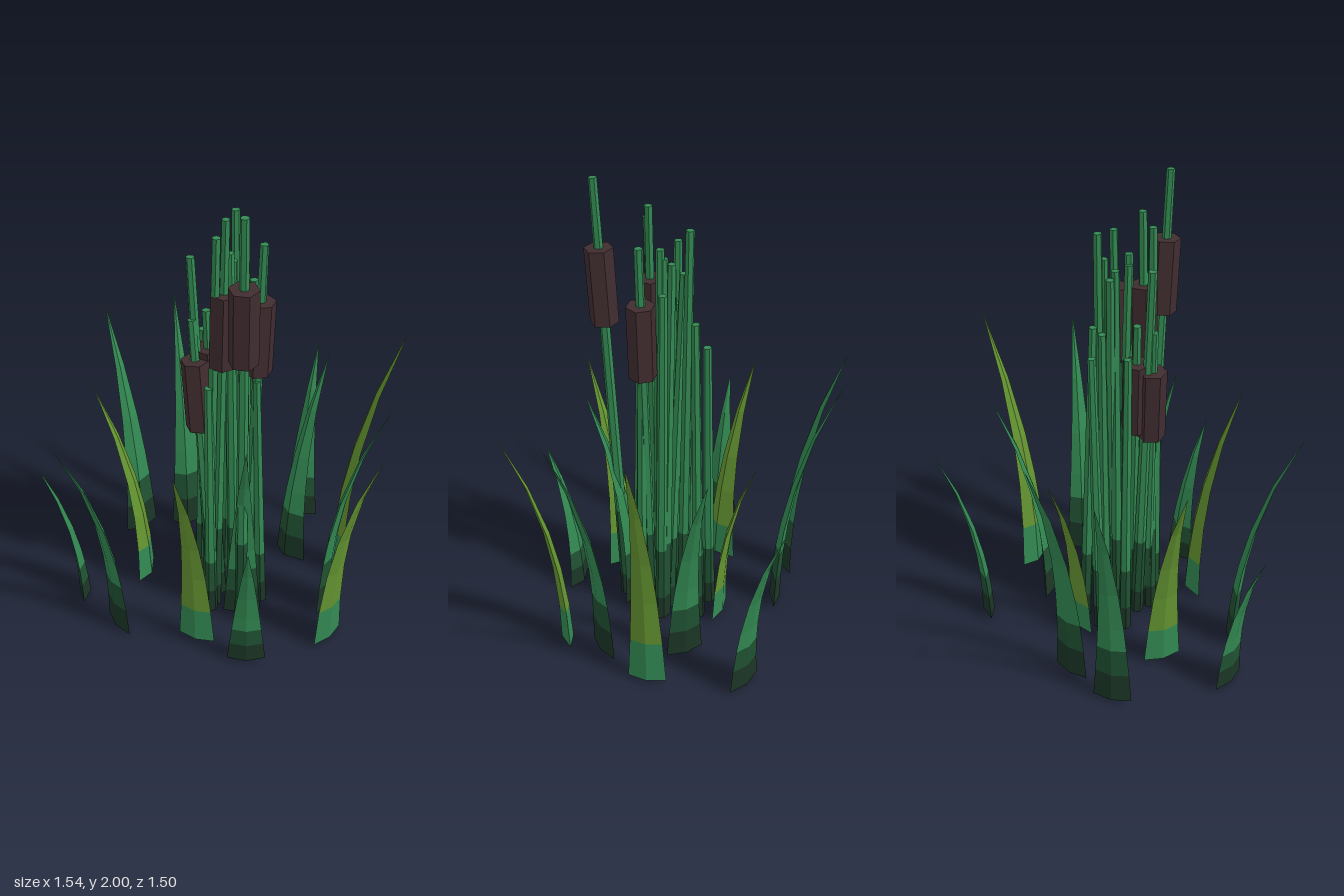
import * as THREE from 'three';

const makeMaterial = (name, color) => {
  const m = new THREE.MeshStandardMaterial({ color, flatShading: true });
  m.name = name;
  return m;
};

// Closed flat-faced skin through rings listed bottom to top, counter-clockwise from above
function loft(rings) {
  const pos = [];
  const tri = (a, b, c) => pos.push(...a, ...b, ...c);
  const n = rings[0].length;
  for (let k = 0; k < rings.length - 1; k++) {
    const a = rings[k], b = rings[k + 1];
    for (let i = 0; i < n; i++) {
      const j = (i + 1) % n;
      tri(a[i], a[j], b[j]);
      tri(a[i], b[j], b[i]);
    }
  }
  const lo = rings[0], hi = rings[rings.length - 1];
  for (let i = 1; i < n - 1; i++) {
    tri(lo[0], lo[i + 1], lo[i]);
    tri(hi[0], hi[i], hi[i + 1]);
  }
  const g = new THREE.BufferGeometry();
  g.setAttribute('position', new THREE.Float32BufferAttribute(pos, 3));
  g.computeVertexNormals();
  return g;
}

// Ridged cross-section of a leaf at height fraction t
function bladeRing(bx, bz, tx, tz, h, t) {
  const dx = tx - bx, dz = tz - bz, len = Math.hypot(dx, dz);
  const ox = dx / len, oz = dz / len;
  const bend = Math.pow(t, 2.3);
  const size = Math.max(0.002, Math.pow(1 - t, 0.92));
  const cx = bx + dx * bend, cz = bz + dz * bend;
  return [[0.018, 0], [0, 0.082], [-0.032, 0.012], [0, -0.082]].map(([o, s]) => [
    cx + (ox * o + oz * s) * size, 0.01 + (h - 0.01) * t, cz + (oz * o - ox * s) * size,
  ]);
}

export function createModel() {
  const model = new THREE.Group();
  model.name = 'reedClump';
  const green = makeMaterial('leafGreen', 0x338a53);
  const dark = makeMaterial('darkGreen', 0x205233);
  const darkest = makeMaterial('rootGreen', 0x1b3626);
  const olive = makeMaterial('oliveGreen', 0x659632);
  const brown = makeMaterial('seedHeadBrown', 0x412d30);

  const add = (parent, name, geometry, material) => {
    const mesh = new THREE.Mesh(geometry, material);
    mesh.name = name;
    parent.add(mesh);
    return mesh;
  };

  // Outer leaves: base x, base z, tip x, tip z, height, is olive
  const leaves = [
    [-0.03, -0.59, -0.09, -0.75, 0.91, 0],
    [0.12, -0.32, 0.125, -0.53, 1.05, 0],
    [0.33, -0.40, 0.47, -0.59, 1.28, 1],
    [0.435, -0.165, 0.655, -0.21, 1.18, 0],
    [0.56, -0.02, 0.77, 0.0, 1.13, 1],
    [0.375, 0.31, 0.46, 0.41, 0.74, 0],
    [0.135, 0.36, 0.2, 0.54, 1.06, 1],
    [0.18, 0.11, 0.32, 0.26, 1.07, 0],
    [-0.175, 0.53, -0.22, 0.75, 1.11, 0],
    [-0.45, 0.49, -0.54, 0.59, 0.74, 0],
    [-0.32, 0.21, -0.505, 0.28, 1.01, 1],
    [-0.56, 0, -0.77, -0.055, 1.16, 0],
    [-0.41, -0.18, -0.59, -0.31, 1.19, 0],
    [-0.13, -0.155, -0.23, -0.27, 0.86, 1],
  ];
  for (const [bx, bz, tx, tz, h, isOlive] of leaves) {
    const leaf = new THREE.Group();
    leaf.name = 'leaf';
    const rings = (...ts) => loft(ts.map((t) => bladeRing(bx, bz, tx, tz, h, t)));
    const split = isOlive ? 0.17 : 0.25;
    if (isOlive) {
      add(leaf, 'leafBase', rings(0, split), green);
    } else {
      add(leaf, 'leafRoot', rings(0, 0.125), darkest);
      add(leaf, 'leafBase', rings(0.125, split), dark);
    }
    add(leaf, 'leafBlade', rings(split, 0.36, 0.54, 0.76, 1), isOlive ? olive : green);
    model.add(leaf);
  }

  // Stems: base x, base z, top x, top z, height, seed head bottom height (0 for none)
  const stems = [
    [0.20, 0.14, 0.255, 0.205, 2.0, 1.41],
    [0.05, 0.14, 0.08, 0.10, 1.9, 1.29],
    [0.13, 0.02, 0.168, -0.01, 1.79, 1.24],
    [0.04, 0.14, -0.05, 0.15, 1.46, 0.97],
    [0.02, 0.07, -0.035, 0.085, 1.48, 1.0],
    [0.01, -0.06, -0.015, -0.065, 1.85, 0],
    [-0.01, 0.10, -0.06, 0.14, 1.72, 0],
    [0.02, 0.16, 0.07, 0.14, 1.84, 0],
    [0.06, 0.02, 0.04, 0.05, 1.7, 0],
    [0.08, 0.05, 0.055, 0.05, 1.74, 0],
    [0.10, -0.06, 0.05, -0.045, 1.72, 0],
    [-0.035, -0.135, -0.03, -0.085, 1.47, 0],
    [-0.12, -0.065, -0.08, -0.09, 1.36, 0],
    [-0.125, 0.045, -0.085, 0.05, 1.36, 0],
    [-0.03, -0.04, -0.05, -0.05, 1.45, 0],
    [0.12, -0.07, 0.09, -0.05, 1.6, 0],
    [0.06, -0.02, -0.01, -0.02, 1.66, 0],
    [0.00, 0.01, 0.03, 0.00, 1.68, 0],
    [0.17, 0.07, 0.14, 0.065, 1.3, 0],
    [0.19, -0.01, 0.16, 0.01, 1.2, 0],
    [0.06, 0.18, 0.05, 0.17, 1.2, 0],
  ];
  const up = new THREE.Vector3(0, 1, 0);
  stems.forEach(([bx, bz, tx, tz, h, headY], i) => {
    const stem = new THREE.Group();
    stem.name = headY ? 'cattail' : 'stem';
    const axis = new THREE.Vector3(tx - bx, h, tz - bz);
    const len = axis.length();
    stem.position.set(bx, 0, bz);
    stem.quaternion.setFromUnitVectors(up, axis.normalize());
    const section = (name, r0, r1, y0, y1, mat) => {
      const mesh = add(stem, name, new THREE.CylinderGeometry(r1, r0, y1 - y0, 6), mat);
      mesh.position.y = (y0 + y1) / 2;
      mesh.rotation.y = i * 0.7;
    };
    const cut = len * 0.24;
    section('stemRoot', 0.029, 0.027, 0, 0.12, darkest);
    section('stemBase', 0.027, 0.025, 0.12, cut, dark);
    section('stemShaft', 0.025, 0.017, cut, len, green);
    if (headY) section('seedHead', 0.058, 0.058, headY, headY + 0.315, brown);
    model.add(stem);
  });
  return model;
}
